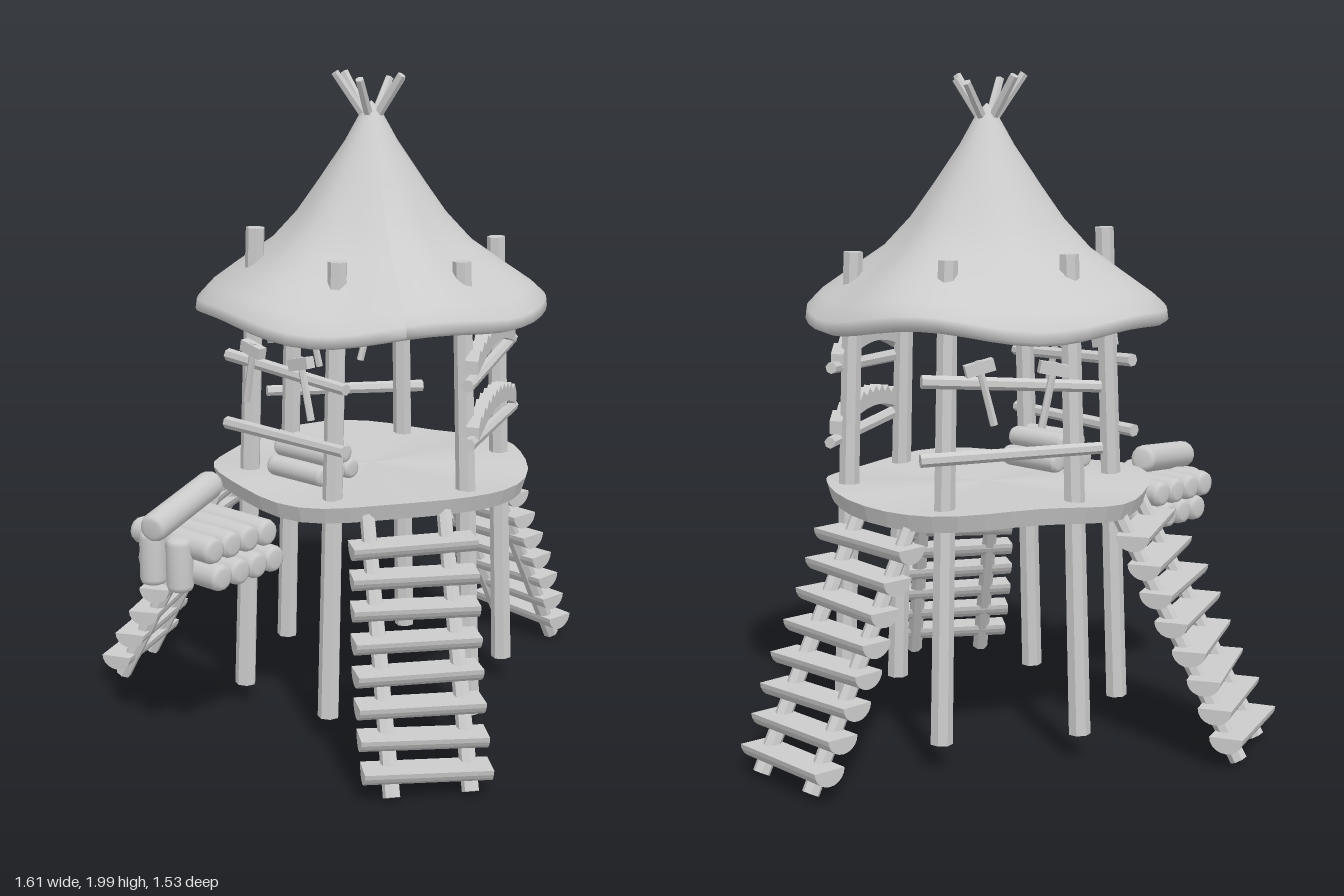
import * as THREE from 'three';

const V = (x, y, z) => new THREE.Vector3(x, y, z);
const CX = 0.03, CZ = -0.115; // axis of the hut

export function createModel() {
  const model = new THREE.Group();
  const flat = new THREE.MeshStandardMaterial({ color: 0xcccccc, flatShading: true });
  const smooth = new THREE.MeshStandardMaterial({ color: 0xcccccc });
  const jitter = (i) => Math.sin(i * 12.9898 + 4.1); // repeatable unevenness, -1..1

  const add = (parent, name, geometry, material = flat) => {
    const mesh = new THREE.Mesh(geometry, material);
    mesh.name = name;
    parent.add(mesh);
    return mesh;
  };

  const between = (mesh, a, b) => {
    mesh.position.copy(a).lerp(b, 0.5);
    mesh.quaternion.setFromUnitVectors(V(0, 1, 0), b.clone().sub(a).normalize());
    return mesh;
  };

  // Rough-hewn pole from a to b
  const pole = (parent, name, a, b, r, sides = 7) =>
    between(add(parent, name, new THREE.CylinderGeometry(r * 0.88, r, a.distanceTo(b), sides)), a, b);

  // Smooth log with softly rounded ends
  const log = (parent, name, a, b, r) => {
    const h = a.distanceTo(b) / 2;
    const half = [[0, h], [0.6 * r, h], [0.88 * r, h - 0.12 * r], [r, h - 0.45 * r]];
    const pts = [...half.map(([x, y]) => [x, -y]), ...half.reverse()].map(([x, y]) => new THREE.Vector2(x, y));
    return between(add(parent, name, new THREE.LatheGeometry(pts, 14), smooth), a, b);
  };

  // Roof: a closed, flared cone with a wavy rim
  const profile = [[0.001, 1.9], [0.03, 1.87], [0.08, 1.78], [0.16, 1.66], [0.225, 1.565], [0.3, 1.48],
    [0.41, 1.4], [0.49, 1.345], [0.535, 1.305], [0.54, 1.275], [0.515, 1.262], [0.47, 1.29], [0.38, 1.37],
    [0.27, 1.46], [0.14, 1.63], [0.001, 1.83]];
  const roof = new THREE.LatheGeometry(profile.reverse().map(([x, y]) => new THREE.Vector2(x, y)), 48);
  const rp = roof.attributes.position;
  for (let i = 0; i < rp.count; i++) {
    const x = rp.getX(i), z = rp.getZ(i), a = Math.atan2(x, z);
    const f = Math.min(1, Math.hypot(x, z) / 0.54) ** 2;
    rp.setY(i, rp.getY(i) + f * (0.014 * Math.sin(5 * a + 1) + 0.01 * Math.sin(3 * a)));
    const s = 1 + 0.035 * Math.sin(6 * a + 0.5) * f * (1 - f) * 4;
    rp.setX(i, x * s);
    rp.setZ(i, z * s);
  }
  roof.computeVertexNormals();
  const roofMaterial = smooth.clone();
  roofMaterial.side = THREE.DoubleSide;
  add(model, 'roof', roof, roofMaterial).position.set(CX, 0, CZ);

  // Sticks fanning out of the roof peak
  [[-0.04, 1.98, -0.19], [0.1, 1.96, -0.19], [0.12, 1.97, -0.1], [0.11, 1.98, -0.05],
    [-0.02, 1.97, -0.04], [-0.08, 1.985, -0.12]].forEach(([x, y, z]) =>
    pole(model, 'peakStick', V(CX + (x - CX) * 0.1, 1.84, CZ + (z - CZ) * 0.1), V(x, y, z), 0.015, 6));

  // Platform: disc with an uneven edge
  const floor = new THREE.CylinderGeometry(0.49, 0.475, 0.05, 40, 2);
  const fp = floor.attributes.position;
  for (let i = 0; i < fp.count; i++) {
    const x = fp.getX(i), z = fp.getZ(i), a = Math.atan2(x, z), r = Math.hypot(x, z) / 0.49;
    fp.setY(i, fp.getY(i) + r * 0.012 * Math.sin(4 * a + 1));
    const s = 1 + 0.012 * Math.sin(7 * a);
    fp.setX(i, x * s);
    fp.setZ(i, z * s);
  }
  add(model, 'platform', floor).position.set(CX, 0.745, CZ);

  // Six posts leaning slightly inward, tips showing through the roof
  const posts = [
    [V(0.27, 0.06, 0.25), V(0.24, 1.46, 0.21)],
    [V(0.47, 0.08, -0.14), V(0.43, 1.47, -0.14)],
    [V(0.22, 0.08, -0.5), V(0.19, 1.47, -0.45)],
    [V(-0.19, 0.08, -0.47), V(-0.16, 1.48, -0.42)],
    [V(-0.38, 0.07, -0.09), V(-0.33, 1.53, -0.085)],
    [V(-0.17, 0.08, 0.25), V(-0.13, 1.47, 0.21)],
  ];
  posts.forEach(([a, b]) => pole(model, 'post', a, b, 0.033, 7));

  // Point outside a post at height y
  const onPost = (i, y, out = 0.035) => {
    const [a, b] = posts[i];
    const p = a.clone().lerp(b, (y - a.y) / (b.y - a.y));
    const d = V(p.x - CX, 0, p.z - CZ).normalize();
    return p.addScaledVector(d, out);
  };

  // Two rails on each of the three closed sides
  const railing = (i, j, lean) => [0.92, 1.12].map((y, k) => {
    const a = onPost(i, y + lean * (k ? 1 : -0.5)), b = onPost(j, y - lean * (k ? 1 : -0.5));
    const d = b.clone().sub(a).normalize();
    pole(model, 'rail', a.clone().addScaledVector(d, -0.06), b.clone().addScaledVector(d, 0.06), 0.02, 7);
    return [a, b];
  });
  const rightRails = railing(0, 1, -0.012);
  const backRails = railing(2, 3, 0.012);
  const leftRails = railing(4, 5, 0.008);

  // Arched panels with a toothed top edge above the right-hand rails
  rightRails.forEach(([a, b]) => {
    const w = a.distanceTo(b) / 2 + 0.015, n = 10;
    const arc = (t) => 0.05 * (1 - t * t);
    const shape = new THREE.Shape();
    shape.moveTo(-w, -0.005);
    for (let i = 1; i <= n; i++) shape.lineTo(w * (2 * i / n - 1), arc(2 * i / n - 1) - 0.005);
    for (let i = 2 * n; i >= 0; i--) {
      const t = i / n - 1;
      shape.lineTo(w * t, arc(t) + 0.035 + (i % 2 ? 0.02 : 0));
    }
    shape.closePath();
    const g = new THREE.ExtrudeGeometry(shape, { depth: 0.04, bevelEnabled: false });
    g.translate(0, 0, -0.02);
    const panel = add(model, 'archedPanel', g);
    panel.position.copy(a).lerp(b, 0.5);
    panel.position.y += 0.015;
    panel.rotation.y = Math.atan2(-(b.z - a.z), b.x - a.x);
  });

  // Tools hung over the upper back and left rails
  [[backRails[1], 0.3, 0.25], [backRails[1], 0.75, -0.2], [leftRails[1], 0.2, -0.2], [leftRails[1], 0.75, 0.25]]
    .forEach(([[a, b], t, tilt]) => {
      const tool = new THREE.Group();
      tool.name = 'hangingTool';
      pole(tool, 'handle', V(0, -0.12, 0), V(0, 0.07, 0), 0.012, 6);
      add(tool, 'head', new THREE.BoxGeometry(0.085, 0.035, 0.03)).position.y = 0.05;
      tool.position.copy(a).lerp(b, t);
      tool.position.addScaledVector(V(tool.position.x - CX, 0, tool.position.z - CZ).normalize(), 0.025);
      tool.rotation.set(0, Math.atan2(-(b.z - a.z), b.x - a.x), tilt);
      model.add(tool);
    });

  // Three ladders with half-log treads; local +z points away from the hut
  const half = new THREE.Shape();
  half.moveTo(-0.05, 0);
  half.absellipse(0, 0, 0.05, 0.046, Math.PI, 2 * Math.PI, false);
  half.closePath();
  const tread = new THREE.ExtrudeGeometry(half, { depth: 0.37, bevelEnabled: false, curveSegments: 5 });
  tread.translate(0, 0, -0.185).rotateY(Math.PI / 2);
  [[0.05, 0.75, 0], [0.705, -0.605, 2.165], [-0.73, -0.5, -2.06]].forEach(([x, z, angle], k) => {
    const ladder = new THREE.Group();
    ladder.name = 'ladder';
    for (const s of [-1, 1])
      pole(ladder, 'ladderRail', V(s * 0.115, 0.015, -0.04), V(s * 0.115, 0.74, -0.42), 0.026, 7);
    for (let i = 0; i < 8; i++) {
      const j = jitter(i + k * 9);
      const step = add(ladder, 'tread', tread);
      step.position.set(j * 0.014, 0.098 + i * 0.082, -0.052 - i * 0.044);
      step.rotation.set(0, jitter(i * 3 + k) * 0.05, j * 0.025);
    }
    ladder.position.set(x, 0, z);
    ladder.rotation.y = angle;
    model.add(ladder);
  });

  // Large log pile beside the platform: two layers, two upright logs, one across the top
  const dir = V(0.61, 0, 0.79), side = V(-0.79, 0, 0.61);
  const pileCentre = V(-0.52, 0, 0.215);
  [[0.6, 4, 0], [0.68, 4, 0.012]].forEach(([y, n, shift]) => {
    for (let i = 0; i < n; i++) {
      const c = pileCentre.clone().addScaledVector(side, (i - (n - 1) / 2) * 0.074 + shift);
      c.y = y;
      c.addScaledVector(dir, jitter(i + y * 10) * 0.012);
      log(model, 'pileLog', c.clone().addScaledVector(dir, -0.165), c.clone().addScaledVector(dir, 0.165), 0.041);
    }
  });
  log(model, 'uprightLog', V(-0.69, 0.55, 0.28), V(-0.69, 0.71, 0.28), 0.04);
  log(model, 'uprightLog', V(-0.62, 0.55, 0.36), V(-0.62, 0.71, 0.36), 0.04);
  log(model, 'crossLog', V(-0.7, 0.74, 0.365), V(-0.49, 0.785, 0.07), 0.043);

  // Small log stack on the platform
  [[-1, 0], [0, 0], [1, 0], [-0.5, 1], [0.5, 1]].forEach(([i, row]) => {
    const c = V(-0.18, 0.81 + row * 0.055, 0.04).addScaledVector(side, i * 0.062);
    log(model, 'stackedLog', c.clone().addScaledVector(dir, -0.11), c.clone().addScaledVector(dir, 0.11), 0.032);
  });

  return model;
}
